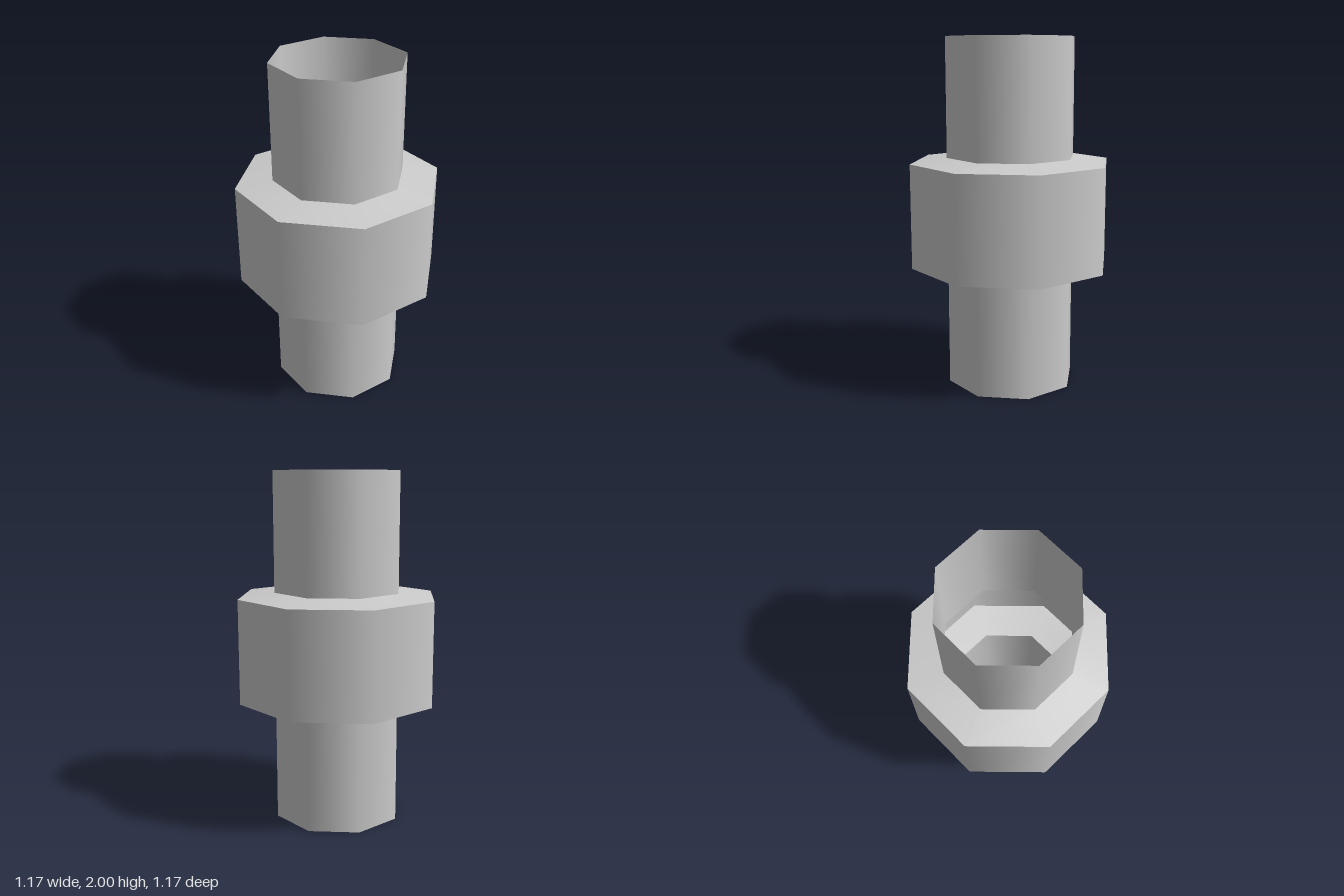
import * as THREE from 'three';

const SIDES = 8;
const PIPE_R = 0.375;
const COLLAR_R = 0.585;

export function createModel() {
  const group = new THREE.Group();
  group.name = 'pipeCoupling';
  const material = new THREE.MeshStandardMaterial({ color: 0xcccccc, side: THREE.DoubleSide });

  // Open eight-sided band: smooth around, sharp where it meets the next band
  const addBand = (name, y0, r0, y1, r1) => {
    const geometry = new THREE.CylinderGeometry(r1, r0, y1 - y0, SIDES, 1, true);
    const mesh = new THREE.Mesh(geometry, material);
    mesh.name = name;
    mesh.position.y = (y0 + y1) / 2;
    group.add(mesh);
  };

  // One continuous hollow skin, from bottom to top
  addBand('lowerPipe', 0, PIPE_R, 0.67, PIPE_R);
  addBand('collarLowerSlope', 0.67, PIPE_R, 0.7, COLLAR_R);
  addBand('collarWall', 0.7, COLLAR_R, 1.3, COLLAR_R);
  addBand('collarUpperSlope', 1.3, COLLAR_R, 1.33, PIPE_R);
  addBand('upperPipe', 1.33, PIPE_R, 2, PIPE_R);

  return group;
}
